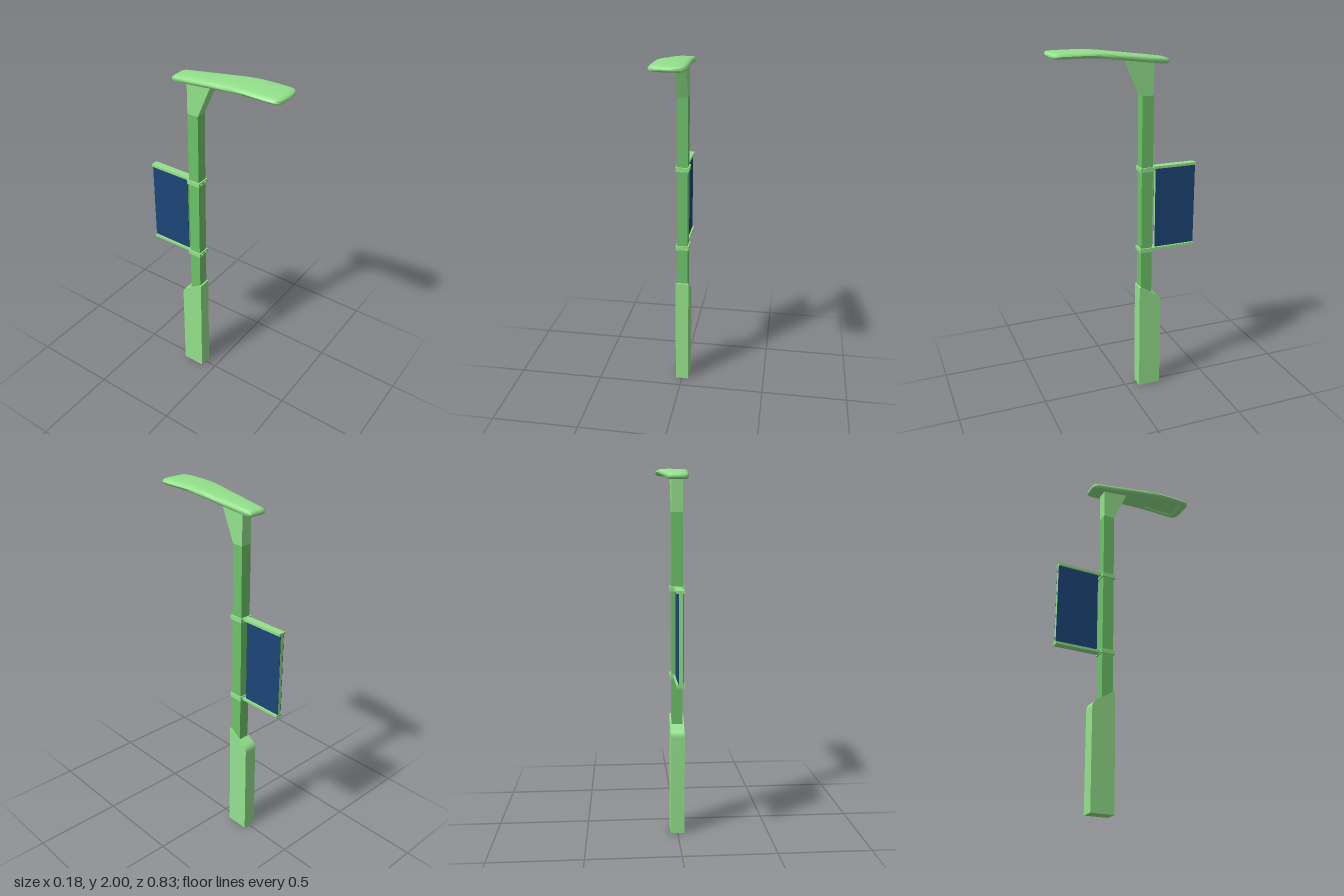
import * as THREE from 'three';
import { toCreasedNormals } from 'three/addons/utils/BufferGeometryUtils.js';

const mat = (color) => new THREE.MeshStandardMaterial({ color });

export function createModel() {
  const model = new THREE.Group();
  const light = mat(0x94e28c), green = mat(0x6cc468), blue = mat(0x1c4678);

  const add = (name, geometry, material, parent = model) => {
    const mesh = new THREE.Mesh(geometry, material);
    mesh.name = name;
    parent.add(mesh);
    return mesh;
  };
  // box given by its extents: half width in x, then y and z ranges
  const box = (name, hw, y0, y1, z0, z1, material, parent) => {
    const m = add(name, new THREE.BoxGeometry(hw * 2, y1 - y0, z1 - z0), material, parent);
    m.position.set(0, (y0 + y1) / 2, (z0 + z1) / 2);
    return m;
  };
  // side profile in (z, y), extruded across x
  const sideExtrude = (shape, hw) => {
    const g = new THREE.ExtrudeGeometry(shape, { depth: hw * 2, bevelEnabled: false, curveSegments: 8 });
    g.translate(0, 0, -hw);
    g.rotateY(-Math.PI / 2);
    return toCreasedNormals(g, 0.5);
  };

  // base housing with sloped, rounded shoulder behind the pole
  const base = new THREE.Shape();
  base.moveTo(-0.207, 0);
  base.lineTo(-0.075, 0);
  base.lineTo(-0.075, 0.65);
  base.lineTo(-0.085, 0.65);
  base.lineTo(-0.185, 0.585);
  base.quadraticCurveTo(-0.207, 0.57, -0.207, 0.545);
  base.closePath();
  add('base', sideExtrude(base, 0.038), light);

  box('pole', 0.03, 0.5, 1.75, -0.15, -0.085, green);

  // flared bracket under the lamp head
  const bracket = new THREE.Shape();
  [[-0.15, 1.75], [-0.085, 1.75], [0, 1.945], [-0.15, 1.925]].forEach(([z, y], i) =>
    i ? bracket.lineTo(z, y) : bracket.moveTo(z, y));
  add('bracket', sideExtrude(bracket, 0.03), light);

  // banner clamps, bolts and arms
  for (const [name, y, armY] of [['upper', 1.348, 1.352], ['lower', 0.876, 0.874]]) {
    const g = new THREE.Group();
    g.name = name + 'BannerMount';
    model.add(g);
    box('clamp', 0.038, y - 0.012, y + 0.012, -0.158, -0.077, light, g);
    for (const x of [-0.018, 0.018]) {
      const bolt = add('bolt', new THREE.CylinderGeometry(0.006, 0.006, 0.006, 8), light, g);
      bolt.rotation.x = Math.PI / 2;
      bolt.position.set(x, y, -0.075);
    }
    box('arm', 0.021, armY - 0.007, armY + 0.007, -0.416, -0.15, light, g);
  }

  // banner: thin core with a coloured sheet on each face
  box('bannerCore', 0.01, 0.88, 1.346, -0.415, -0.175, light);
  for (const s of [-1, 1]) {
    box('bannerSheet', 0.001, 0.882, 1.345, -0.415, -0.175, blue).position.x = s * 0.0105;
  }

  add('lampHead', lampHeadGeometry(), light);
  return model;
}

// centre height of the lamp head: a straight rise that eases to level
function headY(z) {
  const e = Math.min(Math.max(z - 0.12, 0), 0.14);
  return 1.928 + 0.128 * (Math.min(z, 0.12) + 0.23) + 0.128 * (e - (e * e) / 0.28);
}

// lamp head lofted along z, with a recessed lens well underneath
function lampHeadGeometry() {
  // z, half width, thickness
  const stations = [
    [-0.232, 0.036, 0.01], [-0.23, 0.044, 0.018], [-0.222, 0.052, 0.028], [-0.205, 0.0565, 0.034],
    [-0.1, 0.0645, 0.034], [0, 0.073, 0.033], [0.06, 0.078, 0.032], [0.12, 0.083, 0.032],
    [0.165, 0.0863, 0.031], [0.175, 0.087, 0.031], [0.22, 0.089, 0.031], [0.27, 0.091, 0.031],
    [0.33, 0.092, 0.031], [0.36, 0.0915, 0.031], [0.37, 0.091, 0.031], [0.39, 0.088, 0.03],
    [0.403, 0.08, 0.027], [0.412, 0.062, 0.018], [0.417, 0.04, 0.008],
  ];
  // right half of the section, from the well edge round to the top
  const half = [[0.66, -1], [0.72, -1], [0.86, -0.94], [0.95, -0.65], [1, -0.1],
    [0.97, 0.4], [0.9, 0.72], [0.75, 0.92], [0.4, 1]];
  const section = [...half, [0, 1], ...half.map(([x, y]) => [-x, y]).reverse()];
  const n = section.length;
  const pos = [], idx = [];

  for (const [z, w, t] of stations) {
    const inWell = z > 0.17 && z < 0.365;
    section.forEach(([x, y], j) => {
      const lift = inWell && (j === 0 || j === n - 1) ? 0.012 : 0;
      pos.push(x * w, headY(z) + (y * t) / 2 + lift, z);
    });
  }
  for (let i = 0; i < stations.length - 1; i++) {
    for (let j = 0; j < n; j++) {
      const a = i * n + j, b = i * n + ((j + 1) % n);
      idx.push(a, b, b + n, a, b + n, a + n);
    }
  }
  // end caps
  const last = (stations.length - 1) * n;
  for (let j = 1; j < n - 1; j++) {
    idx.push(0, j + 1, j, last, last + j, last + j + 1);
  }
  const g = new THREE.BufferGeometry();
  g.setAttribute('position', new THREE.Float32BufferAttribute(pos, 3));
  g.setIndex(idx);
  return toCreasedNormals(g, 0.8);
}
